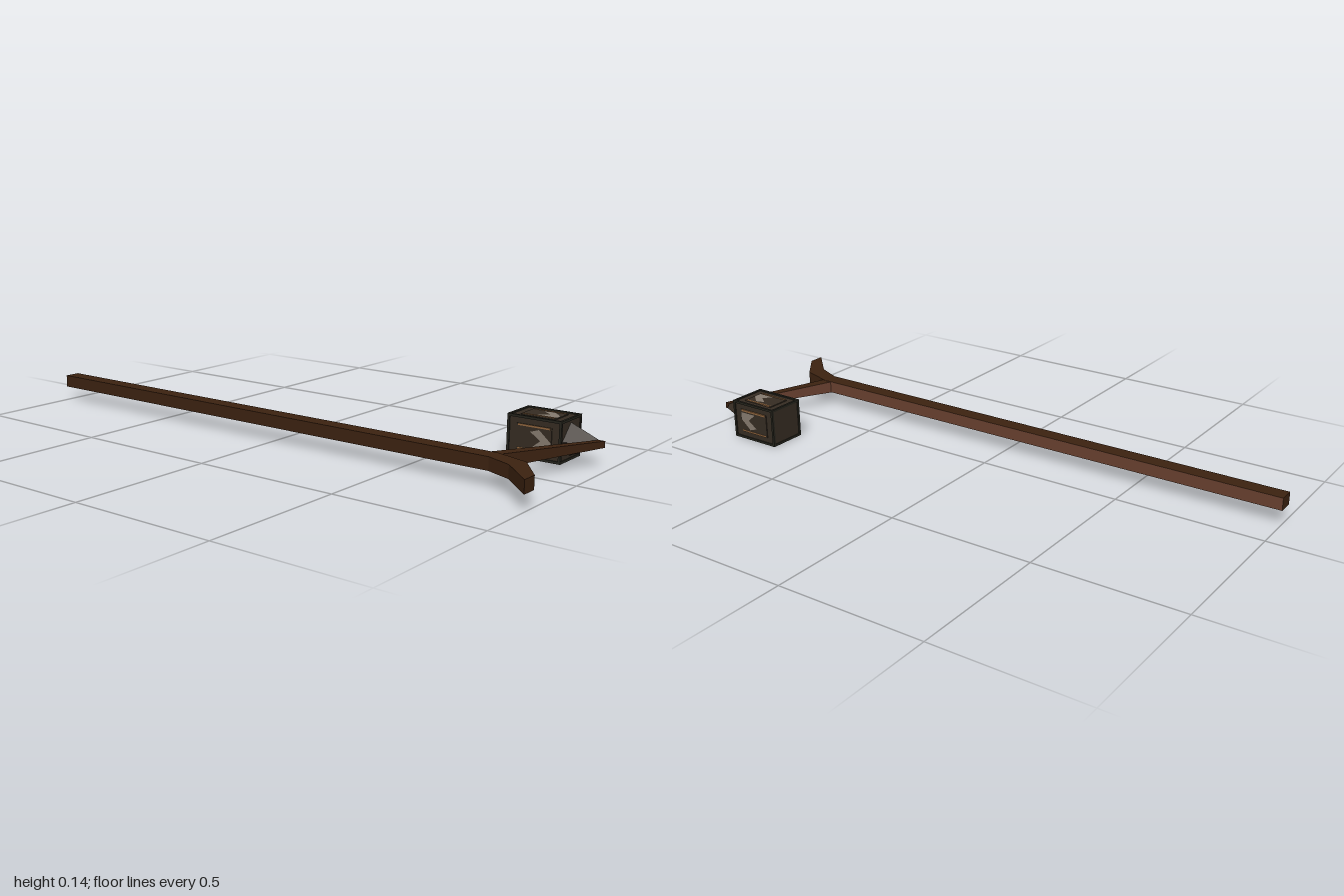
import * as THREE from 'three';

const mat = (name, color, extra = {}) => {
  const m = new THREE.MeshStandardMaterial({ color, flatShading: true, ...extra });
  m.name = name;
  return m;
};

export function createModel() {
  const wood = mat('dark wood', 0x3c2210);
  const redWood = mat('reddish wood', 0x68402f);
  const iron = mat('iron panel', 0x352c22);
  const frame = mat('dark frame', 0x24231b);
  const glass = mat('pale glass', 0x857a6e);
  const amber = mat('amber trim', 0x8f643c);

  const root = new THREE.Group();
  const add = (parent, name, geo, material, x = 0, y = 0, z = 0) => {
    const m = new THREE.Mesh(geo, material);
    m.name = name;
    m.position.set(x, y, z);
    parent.add(m);
    return m;
  };

  // Straight post, lying along z, with a redder +x side
  add(root, 'post', new THREE.BoxGeometry(0.054, 0.042, 1.81),
    [redWood, wood, wood, wood, wood, wood], -0.147, 0.071, -0.095);

  // Bent end of the post, drawn in plan and extruded upwards
  const plan = [[-0.174, 0.81], [-0.21, 0.895], [-0.313, 1], [-0.257, 1], [-0.155, 0.92], [-0.12, 0.81]];
  const bend = new THREE.ExtrudeGeometry(
    new THREE.Shape(plan.map(([x, z]) => new THREE.Vector2(x, -z))),
    { depth: 0.042, bevelEnabled: false });
  bend.rotateX(-Math.PI / 2);
  add(root, 'bentEnd', bend, wood, 0, 0.05, 0);

  // Tapered arm carrying the lantern
  const arm = new THREE.BoxGeometry(1, 1, 1);
  const p = arm.attributes.position;
  for (let i = 0; i < p.count; i++) {
    const t = p.getX(i) + 0.5;
    p.setXYZ(i,
      THREE.MathUtils.lerp(-0.127, 0.234, t),
      0.07 + p.getY(i) * THREE.MathUtils.lerp(0.042, 0.021, t),
      THREE.MathUtils.lerp(0.8, 0.963, t) + p.getZ(i) * THREE.MathUtils.lerp(0.042, 0.022, t));
  }
  arm.computeVertexNormals();
  add(root, 'arm', arm, [wood, wood, wood, wood, wood, redWood]);

  // Lantern, its axis along z
  const lantern = new THREE.Group();
  lantern.name = 'lantern';
  lantern.position.set(0.235, 0.068, 0.769);
  root.add(lantern);
  const W = 0.135, L = 0.186, bar = 0.008;
  add(lantern, 'lanternBody', new THREE.BoxGeometry(W - 0.008, W - 0.008, L - 0.006), iron);

  const cap = new THREE.CylinderGeometry(0.012, 0.053, 0.095, 4);
  cap.rotateX(Math.PI / 2);
  add(lantern, 'lanternCap', cap, iron, 0, 0, L / 2 + 0.0445);

  // Angular glint shape on each pane, in (x, z)
  const glint = [[-0.03, 0.04], [-0.005, 0.04], [0.03, 0], [0.02, -0.03], [-0.005, 0.005], [-0.03, -0.025]];
  const glintGeo = new THREE.ShapeGeometry(
    new THREE.Shape(glint.map(([x, z]) => new THREE.Vector2(x, -z))));
  glintGeo.rotateX(-Math.PI / 2);

  // Four matching sides: edge bars, pane, glint and trim
  for (let i = 0; i < 4; i++) {
    const side = new THREE.Group();
    side.name = 'lanternSide';
    side.rotation.z = i * Math.PI / 2;
    lantern.add(side);
    const edge = (W - bar) / 2;
    add(side, 'cornerBar', new THREE.BoxGeometry(bar, bar, L), frame, edge, edge, 0);
    for (const s of [-1, 1]) {
      add(side, 'endBar', new THREE.BoxGeometry(W - 2 * bar, bar, bar), frame,
        0, edge, s * (L - bar) / 2);
      add(side, 'amberTrim', new THREE.BoxGeometry(0.006, 0.005, 0.11), amber,
        s * 0.038, W / 2 - 0.002, 0);
    }
    add(side, 'pane', new THREE.BoxGeometry(0.082, 0.004, 0.12), iron, 0, W / 2 - 0.003, 0);
    add(side, 'paneGlint', glintGeo, glass, 0, W / 2, 0.018);
  }
  return root;
}
